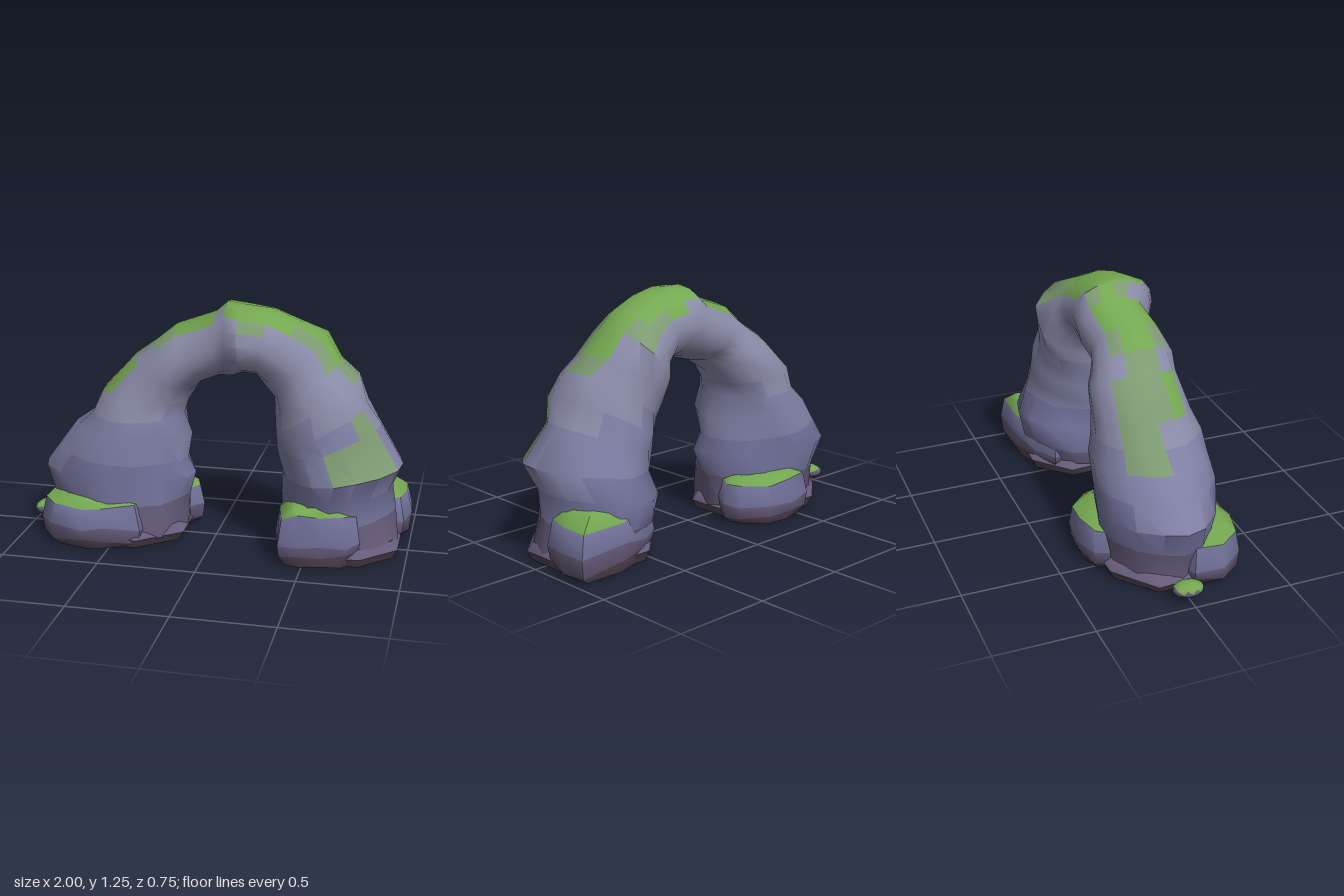
import * as THREE from 'three';
import { toCreasedNormals, mergeVertices } from 'three/addons/utils/BufferGeometryUtils.js';

const MATERIALS = {
  Stone: new THREE.MeshStandardMaterial({ color: 0x8a8ba8 }),
  MidStone: new THREE.MeshStandardMaterial({ color: 0x7f80a4 }),
  LowerStone: new THREE.MeshStandardMaterial({ color: 0x73739c }),
  FootStone: new THREE.MeshStandardMaterial({ color: 0x675c7a }),
  Earth: new THREE.MeshStandardMaterial({ color: 0x574856 }),
  Moss: new THREE.MeshStandardMaterial({ color: 0x74a851 }),
  Lichen: new THREE.MeshStandardMaterial({ color: 0x7d9a72 }),
};

const hash = (a, b) => {
  const s = Math.sin(a * 12.9898 + b * 78.233) * 43758.5453;
  return (s - Math.floor(s)) * 2 - 1;
};

// Bare rock darkens towards the ground
function rockZone(y) {
  if (y < 0.055) return 'Earth';
  if (y < 0.15) return 'FootStone';
  if (y < 0.4) return 'LowerStone';
  return y < 0.7 ? 'MidStone' : 'Stone';
}

// Skin over a stack of closed rings (counter-clockwise around the path), capped at both ends
function loft(rings) {
  const n = rings[0].length;
  const pos = rings.flat().flatMap((p) => p.toArray());
  const index = [];
  for (let i = 0; i < rings.length - 1; i++) {
    for (let j = 0; j < n; j++) {
      const a = i * n + j, b = i * n + ((j + 1) % n);
      index.push(a, b, a + n, b, b + n, a + n);
    }
  }
  for (const i of [0, rings.length - 1]) {
    const c = new THREE.Vector3();
    rings[i].forEach((p) => c.addScaledVector(p, 1 / n));
    const k = pos.length / 3;
    pos.push(...c.toArray());
    for (let j = 0; j < n; j++) {
      const a = i * n + j, b = i * n + ((j + 1) % n);
      index.push(k, ...(i === 0 ? [b, a] : [a, b]));
    }
  }
  const g = new THREE.BufferGeometry();
  g.setAttribute('position', new THREE.Float32BufferAttribute(pos, 3));
  g.setIndex(index);
  return g;
}

// Shade the surface, then sort its triangle pairs into one mesh per colour zone
function zonedPart(name, geometry, crease, zoneOf) {
  const g = toCreasedNormals(geometry, crease);
  const p = g.attributes.position, nm = g.attributes.normal;
  const zones = {};
  const mid = new THREE.Vector3(), dir = new THREE.Vector3(), v = new THREE.Vector3();
  for (let i = 0; i < p.count; i += 6) {
    mid.set(0, 0, 0);
    dir.set(0, 0, 0);
    for (let k = i; k < i + 6; k++) {
      mid.addScaledVector(v.fromBufferAttribute(p, k), 1 / 6);
      dir.add(v.fromBufferAttribute(nm, k));
    }
    const z = (zones[zoneOf(mid, dir.normalize())] ??= { pos: [], nor: [] });
    for (let k = i; k < i + 6; k++) {
      z.pos.push(p.getX(k), p.getY(k), p.getZ(k));
      z.nor.push(nm.getX(k), nm.getY(k), nm.getZ(k));
    }
  }
  const group = new THREE.Group();
  group.name = name;
  for (const [zone, d] of Object.entries(zones)) {
    const part = new THREE.BufferGeometry();
    part.setAttribute('position', new THREE.Float32BufferAttribute(d.pos, 3));
    part.setAttribute('normal', new THREE.Float32BufferAttribute(d.nor, 3));
    const mesh = new THREE.Mesh(mergeVertices(part), MATERIALS[zone]);
    mesh.name = name + zone;
    group.add(mesh);
  }
  return group;
}

// Arch stations: outer x, y, inner x, y, back z, front z
const ARCH = [
  [-0.84, 0.05, -0.15, 0.04, -0.29, 0.30],
  [-0.86, 0.20, -0.14, 0.22, -0.29, 0.29],
  [-0.92, 0.35, -0.11, 0.34, -0.31, 0.29],
  [-0.84, 0.46, -0.15, 0.42, -0.30, 0.28],
  [-0.75, 0.58, -0.13, 0.55, -0.30, 0.27],
  [-0.64, 0.66, -0.17, 0.66, -0.27, 0.25],
  [-0.59, 0.78, -0.15, 0.73, -0.27, 0.21],
  [-0.42, 0.96, -0.11, 0.79, -0.25, 0.20],
  [-0.31, 1.04, -0.09, 0.82, -0.21, 0.20],
  [-0.20, 1.13, -0.06, 0.85, -0.19, 0.19],
  [0.00, 1.20, 0.03, 0.87, -0.20, 0.17],
  [0.06, 1.255, 0.10, 0.89, -0.20, 0.21],
  [0.14, 1.25, 0.16, 0.905, -0.19, 0.25],
  [0.29, 1.23, 0.22, 0.90, -0.20, 0.22],
  [0.42, 1.17, 0.27, 0.84, -0.22, 0.21],
  [0.55, 1.10, 0.30, 0.78, -0.28, 0.20],
  [0.63, 0.98, 0.31, 0.70, -0.26, 0.24],
  [0.73, 0.91, 0.32, 0.62, -0.24, 0.27],
  [0.77, 0.78, 0.33, 0.54, -0.26, 0.32],
  [0.84, 0.67, 0.34, 0.47, -0.28, 0.29],
  [0.96, 0.48, 0.35, 0.40, -0.29, 0.36],
  [0.91, 0.35, 0.34, 0.30, -0.34, 0.31],
  [0.93, 0.22, 0.34, 0.15, -0.31, 0.29],
  [0.95, 0.05, 0.37, 0.05, -0.28, 0.31],
];

function makeArch() {
  const sides = 16;
  const rings = ARCH.map(([ox, oy, ix, iy, z0, z1], i) => {
    const cx = (ox + ix) / 2, cy = (oy + iy) / 2;
    const power = cy < 0.6 ? 1.12 : 0.98; // legs are more pointed than the span
    const shape = (v) => Math.sign(v) * Math.abs(v) ** power;
    return Array.from({ length: sides }, (_, j) => {
      const a = (j / sides) * Math.PI * 2;
      const rough = j % 4 ? 1 + 0.05 * hash(i, j) : 1;
      const c = shape(Math.cos(a)) * rough, s = shape(Math.sin(a)) * rough;
      return new THREE.Vector3(
        cx + c * (ox - cx),
        cy + c * (oy - cy),
        (z0 + z1) / 2 + s * (z1 - z0) / 2,
      );
    });
  });
  return zonedPart('arch', loft(rings), 0.9, (m, n) => {
    const patch = 0.1 * Math.sin(m.x * 17 + 1) + 0.06 * Math.sin(m.z * 21 + m.x * 8);
    const cover = m.y > 0.82 ? n.y - 0.66 - patch : -1;
    if (cover > 0.08) return 'Moss';
    if (cover > -0.03) return 'Lichen';
    if (m.y > 0.5 && m.y < 0.72 && m.x > 0.6 && m.z > 0.12 && n.y > 0.25) return 'Lichen';
    if (m.y > 0.55 && m.y < 0.8 && m.x < -0.55 && m.z < -0.03 && n.y > 0.45) return 'Lichen';
    return rockZone(m.y);
  });
}

// Boulder from a plan outline [x, z] and levels [height, plan scale]
function makeBoulder(name, outline, levels, seed) {
  const cx = outline.reduce((s, p) => s + p[0], 0) / outline.length;
  const cz = outline.reduce((s, p) => s + p[1], 0) / outline.length;
  const angle = ([x, z]) => Math.atan2(cz - z, x - cx);
  const plan = [...outline].sort((a, b) => angle(a) - angle(b));
  const top = levels[levels.length - 1][0];
  const rings = levels.map(([y, s], i) => plan.map(([x, z], j) => {
    const lift = i > 0 ? 0.08 * top * hash(seed + i, j) : 0;
    return new THREE.Vector3(cx + (x - cx) * s, Math.min(y + lift, top), cz + (z - cz) * s);
  }));
  return zonedPart(name, loft(rings), 0.9, (m, n) => (n.y > 0.6 && m.y > 0.15 ? 'Moss' : rockZone(m.y)));
}

// Eight-sided earth plate under a foot
function makeFooting(name, x, halfX, halfZ) {
  const outline = Array.from({ length: 8 }, (_, i) => {
    const a = ((i + 0.5) / 8) * Math.PI * 2;
    return [x + Math.cos(a) * halfX, Math.sin(a) * halfZ];
  });
  return makeBoulder(name, outline, [[0, 0.92], [0.05, 1], [0.09, 0.9]], 9);
}

export function createModel() {
  const model = new THREE.Group();
  model.name = 'rockArch';
  model.add(makeArch());

  // Boulders around the feet: height and plan outline
  const profile = (h) => [[0, 0.8], [0.16 * h, 0.96], [0.42 * h, 1], [0.84 * h, 0.9], [h, 0.6]];
  const boulders = {
    frontRightBoulder: [0.255, [[-0.88, 0.05], [-0.89, 0.2], [-0.8, 0.32], [-0.62, 0.37], [-0.52, 0.35],
      [-0.34, 0.28], [-0.28, 0], [-0.6, -0.05]]],
    backRightBoulder: [0.25, [[-0.62, -0.2], [-0.55, -0.34], [-0.4, -0.375], [-0.24, -0.36], [-0.13, -0.25],
      [-0.1, -0.16], [-0.2, 0], [-0.5, 0]]],
    frontLeftBoulder: [0.31, [[0.34, 0.15], [0.38, 0.34], [0.47, 0.365], [0.6, 0.33], [0.72, 0.32],
      [0.78, 0.26], [0.75, 0], [0.4, 0]]],
    backLeftBoulder: [0.31, [[0.42, -0.2], [0.55, -0.28], [0.72, -0.34], [0.99, -0.34], [1, -0.2],
      [0.97, -0.06], [0.7, 0.02], [0.46, 0]]],
  };
  Object.entries(boulders).forEach(([name, [height, outline]], i) => {
    model.add(makeBoulder(name, outline, profile(height), i * 11 + 3));
  });

  model.add(makeFooting('rightFooting', -0.5, 0.38, 0.32));
  model.add(makeFooting('leftFooting', 0.66, 0.32, 0.32));

  // Small mossy pebble beside the right foot
  const pebble = new THREE.IcosahedronGeometry(1, 1).scale(0.06, 0.037, 0.08);
  pebble.translate(-0.94, 0.075, -0.015);
  model.add(zonedPart('pebble', pebble, 0.9, (m, n) => (n.y > 0.3 ? 'Moss' : 'FootStone')));
  return model;
}
